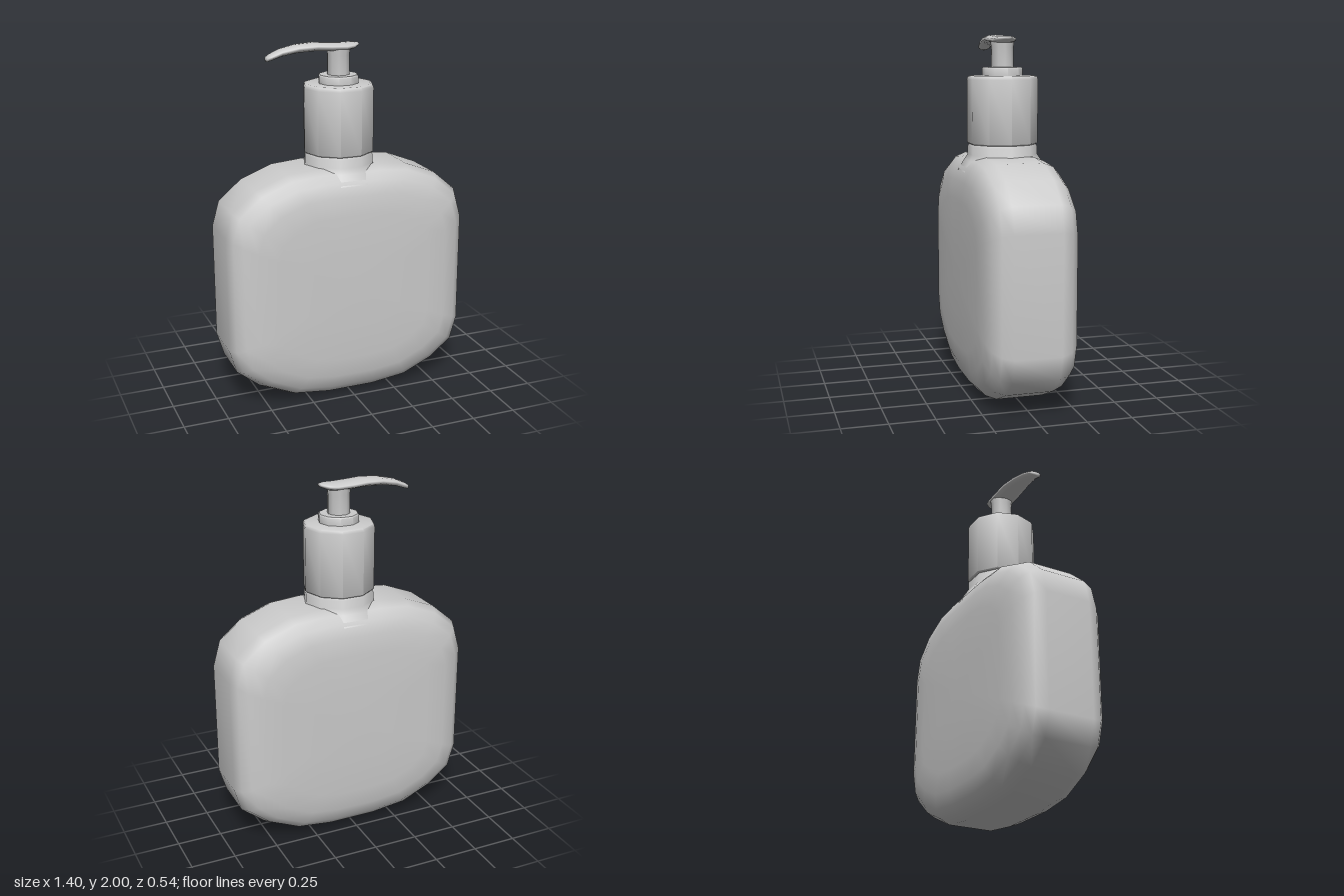
import * as THREE from 'three';
import { toCreasedNormals } from 'three/addons/utils/BufferGeometryUtils.js';

const material = new THREE.MeshStandardMaterial({ color: 0xcccccc, roughness: 0.6 });

function addMesh(parent, name, geometry) {
  const mesh = new THREE.Mesh(geometry, material);
  mesh.name = name;
  parent.add(mesh);
}

// Smooth skin over closed rings of [x, y, z] points, closed by a centre point at each end
function loft(rings, startTip, endTip) {
  const n = rings[0].length;
  const index = [];
  for (let i = 0; i < rings.length - 1; i++) {
    for (let j = 0; j < n; j++) {
      const k = (j + 1) % n;
      const a = i * n + j, b = i * n + k, c = b + n, d = a + n;
      index.push(a, b, c, a, c, d);
    }
  }
  const start = rings.length * n, last = start - n;
  for (let j = 0; j < n; j++) {
    const k = (j + 1) % n;
    index.push(start, k, j, start + 1, last + j, last + k);
  }
  const geometry = new THREE.BufferGeometry();
  const points = [...rings.flat(), startTip, endTip];
  geometry.setAttribute('position', new THREE.Float32BufferAttribute(points.flat(), 3));
  geometry.setIndex(index);
  geometry.computeVertexNormals();
  return geometry;
}

// Ten-sided turned part, rounded around and sharp at steep steps
function turned(profile) {
  const points = profile.map(([r, y]) => new THREE.Vector2(r, y));
  return toCreasedNormals(new THREE.LatheGeometry(points, 10, Math.PI / 2), 0.85);
}

// Flat bottle: one rounded outline, shrunk towards the front and back faces
function bottleGeometry() {
  const midY = 0.67;
  const right = [
    [0.14, 0.005], [0.35, 0.03], [0.53, 0.11], [0.66, 0.215], [0.70, 0.35],
    [0.70, 1.0], [0.66, 1.14], [0.53, 1.25], [0.35, 1.32], [0.18, 1.335],
  ];
  const left = right.map(([x, y]) => [-x, y]).reverse();
  const outline = [...right, ...left];
  const half = [[0.13, 1], [0.19, 0.965], [0.23, 0.9], [0.255, 0.79], [0.265, 0.63], [0.27, 0.35]];
  const layers = [...half.map(([z, s]) => [-z, s]).reverse(), ...half];
  const rings = layers.map(([z, s]) => outline.map(([x, y]) => [x * s, midY + (y - midY) * s, z]));
  return loft(rings, [0, midY, -0.272], [0, midY, 0.272]);
}

// Arched lever tapering towards the nozzle: [x, bottom, top, half width]
function spoutGeometry() {
  const sections = [
    [0.11, 1.973, 1.99, 0.025], [0.075, 1.958, 1.992, 0.058], [0.03, 1.95, 1.99, 0.066],
    [-0.06, 1.952, 1.994, 0.067], [-0.14, 1.957, 2.0, 0.065], [-0.24, 1.953, 1.994, 0.054],
    [-0.33, 1.938, 1.975, 0.044], [-0.39, 1.918, 1.95, 0.037], [-0.41, 1.912, 1.937, 0.026],
  ];
  const sides = 10;
  const rings = sections.map(([x, low, high, w]) => Array.from({ length: sides }, (_, j) => {
    const t = ((j + 0.5) / sides) * Math.PI * 2;
    const c = Math.cos(t), s = Math.sin(t);
    return [
      x,
      (low + high) / 2 + Math.sign(s) * Math.min(1, Math.abs(s) * 1.1) * (high - low) / 2,
      Math.sign(c) * Math.min(1, Math.abs(c) * 1.05) * w,
    ];
  }));
  return loft(rings, [0.112, 1.982, 0], [-0.412, 1.924, 0]);
}

export function createModel() {
  const model = new THREE.Group();
  model.name = 'soapDispenser';

  addMesh(model, 'bottle', bottleGeometry());
  addMesh(model, 'neck', turned([[0.25, 1.25], [0.215, 1.31], [0.195, 1.34], [0.195, 1.385], [0.185, 1.4], [0, 1.4]]));

  const pump = new THREE.Group();
  pump.name = 'pump';
  model.add(pump);
  addMesh(pump, 'cap', turned([
    [0, 1.397], [0.19, 1.397], [0.198, 1.405], [0.198, 1.755], [0.193, 1.77], [0.18, 1.776], [0, 1.776],
  ]));
  addMesh(pump, 'collar', turned([[0.112, 1.77], [0.112, 1.815], [0.106, 1.822], [0, 1.822]]));
  addMesh(pump, 'stem', turned([[0.062, 1.81], [0.062, 1.93], [0.066, 1.955], [0.066, 1.975], [0, 1.975]]));
  addMesh(pump, 'spout', spoutGeometry());

  return model;
}
